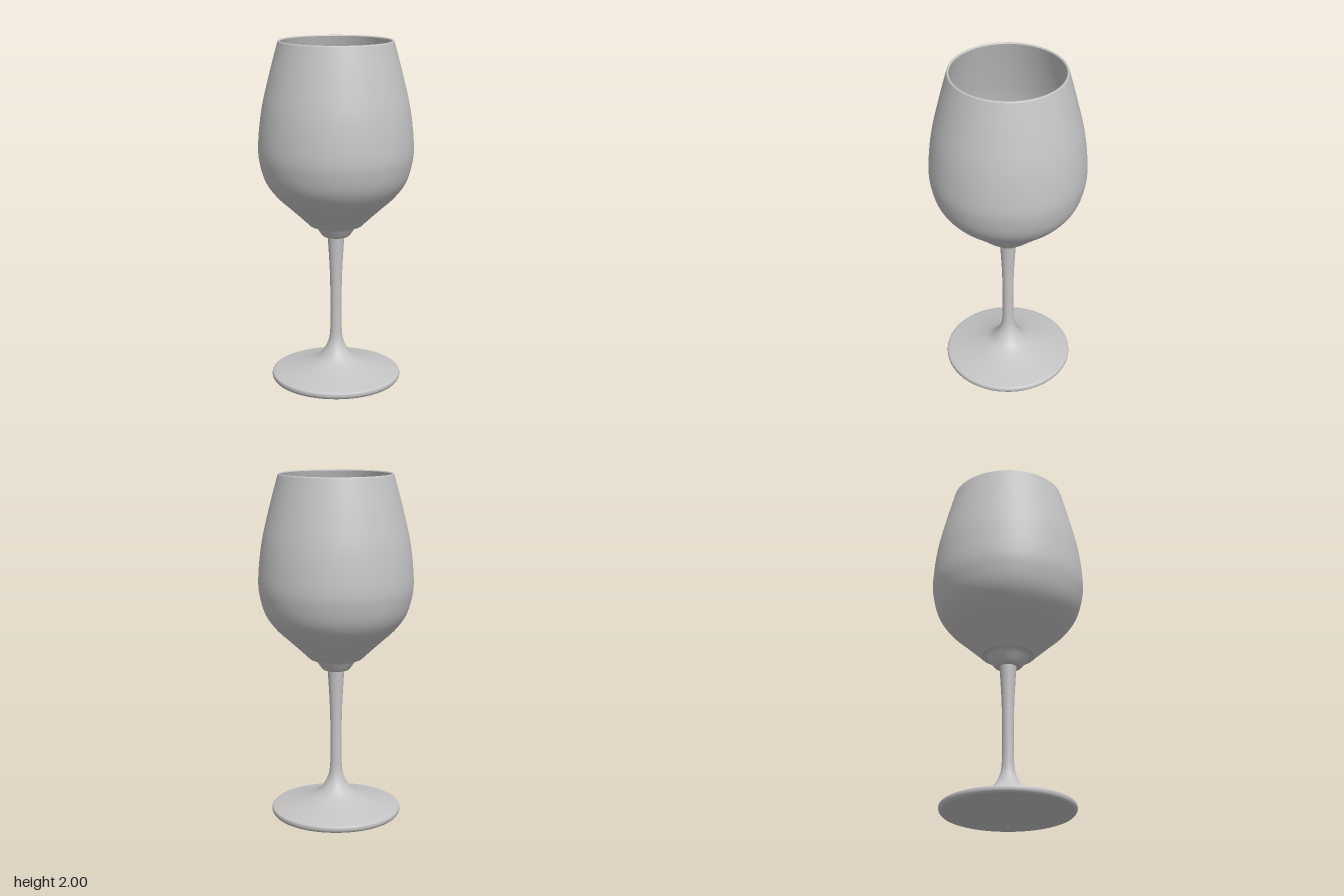
import * as THREE from 'three';

const SEGMENTS = 96;

// Smooth run of [radius, height] points
function curve(points, steps) {
  return new THREE.SplineCurve(points.map(([r, y]) => new THREE.Vector2(r, y))).getPoints(steps);
}

// Straight run of [radius, height] points
function line(points) {
  return points.map(([r, y]) => new THREE.Vector2(r, y));
}

export function createModel() {
  const glass = new THREE.MeshStandardMaterial({ color: 0xc4c4c4 });
  glass.name = 'grey glass';

  const model = new THREE.Group();
  model.name = 'wineGlass';

  const turn = (name, points) => {
    const mesh = new THREE.Mesh(new THREE.LatheGeometry(points, SEGMENTS), glass);
    mesh.name = name;
    model.add(mesh);
  };

  // Flat underside and rounded edge of the foot
  turn('footBase', line([[0, 0], [0.37, 0]]));
  turn('footEdge', curve([[0.37, 0], [0.379, 0.012], [0.38, 0.028], [0.374, 0.037], [0.355, 0.043]], 12));

  // Foot sweeping up into the stem, which flares slightly at the top
  turn('footAndStem', curve([
    [0.355, 0.043], [0.26, 0.066], [0.17, 0.095], [0.11, 0.125], [0.073, 0.165],
    [0.049, 0.21], [0.037, 0.26], [0.033, 0.34], [0.033, 0.5],
    [0.036, 0.64], [0.042, 0.76], [0.049, 0.868],
  ], 60));

  // Collar between stem and bowl
  turn('collarBase', line([[0, 0.867], [0.072, 0.867]]));
  turn('collar', curve([[0.072, 0.867], [0.083, 0.876], [0.1, 0.9], [0.114, 0.921], [0.125, 0.934]], 14));
  turn('bowlBase', line([[0.12, 0.934], [0.154, 0.936]]));

  // Outer wall of the bowl
  turn('bowlOutside', curve([
    [0.154, 0.936], [0.205, 0.985], [0.27, 1.045], [0.345, 1.115], [0.403, 1.195],
    [0.434, 1.29], [0.445, 1.4], [0.425, 1.6], [0.38, 1.8], [0.328, 1.994],
  ], 60));

  // Rounded lip
  turn('rim', curve([[0.328, 1.994], [0.325, 1.999], [0.321, 2], [0.317, 1.999], [0.314, 1.994]], 8));

  // Inner wall and flat floor of the bowl
  turn('bowlInside', curve([
    [0.314, 1.994], [0.366, 1.8], [0.411, 1.6], [0.431, 1.4], [0.42, 1.29],
    [0.389, 1.2], [0.333, 1.125], [0.26, 1.055], [0.195, 0.995], [0.15, 0.953],
  ], 60));
  turn('bowlFloor', line([[0.15, 0.953], [0, 0.953]]));

  return model;
}
